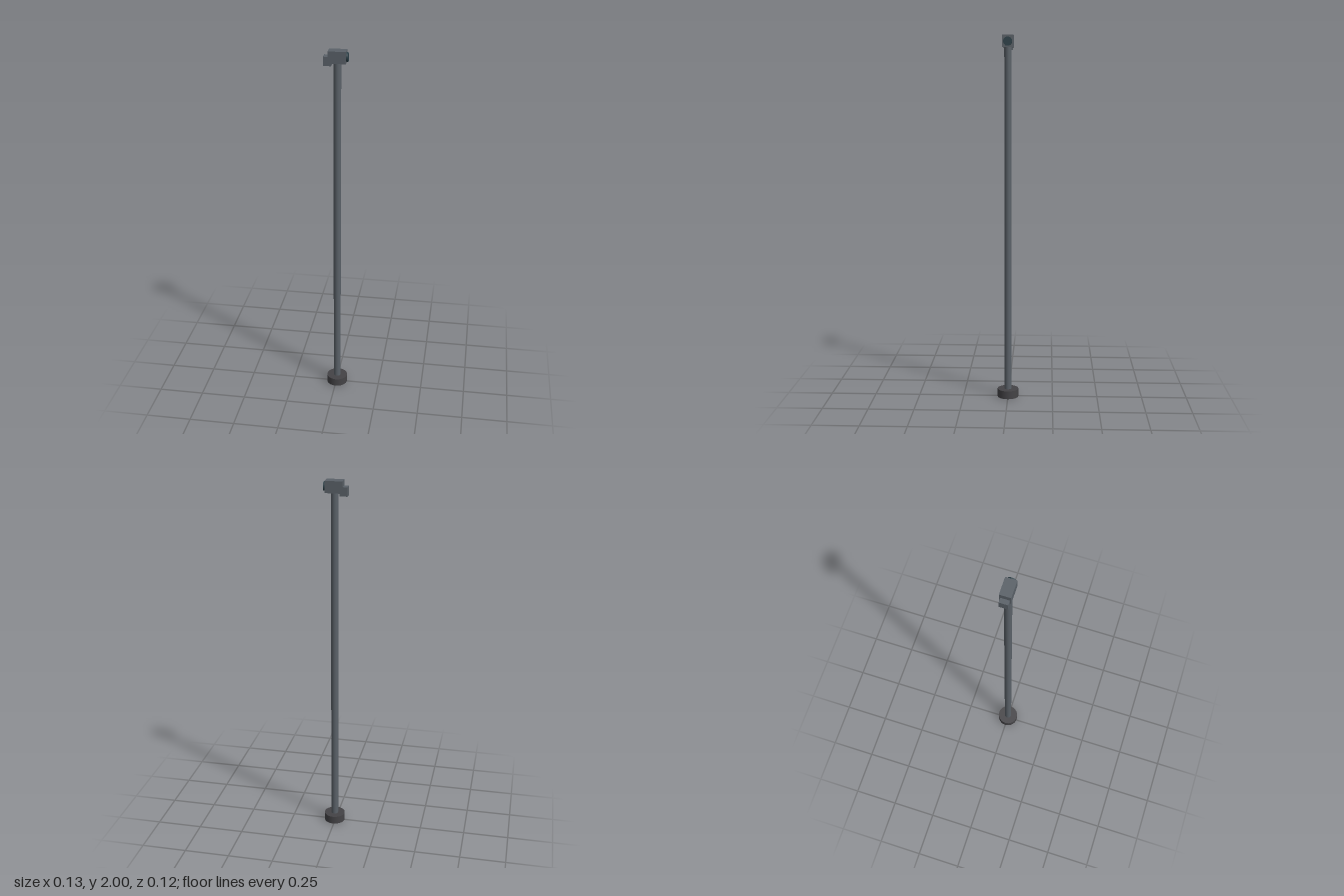
import * as THREE from 'three';

const paint = (color) => new THREE.MeshStandardMaterial({ color });

export function createModel() {
  const group = new THREE.Group();
  const steel = paint(0x5a6168);
  const dark = paint(0x444346);
  const glass = paint(0x2c4048);

  const add = (name, geometry, material, x, y, z = 0) => {
    const mesh = new THREE.Mesh(geometry, material);
    mesh.name = name;
    mesh.position.set(x, y, z);
    group.add(mesh);
    return mesh;
  };

  // Round foot and the tall post standing on it
  add('base', new THREE.CylinderGeometry(0.058, 0.058, 0.045, 32), dark, 0.005, 0.0225);
  add('pole', new THREE.CylinderGeometry(0.02, 0.02, 1.9, 24), steel, 0.005, 0.99);

  // Camera head with a smaller box tucked under its rear edge
  add('cameraBody', new THREE.BoxGeometry(0.093, 0.063, 0.059), steel, 0.0055, 1.9685);
  add('rearBox', new THREE.BoxGeometry(0.042, 0.048, 0.046), steel, -0.045, 1.946);

  // Lens facing +x
  const lens = add('lens', new THREE.CylinderGeometry(0.024, 0.024, 0.02, 24), glass, 0.052, 1.967);
  lens.rotation.z = -Math.PI / 2;

  return group;
}
